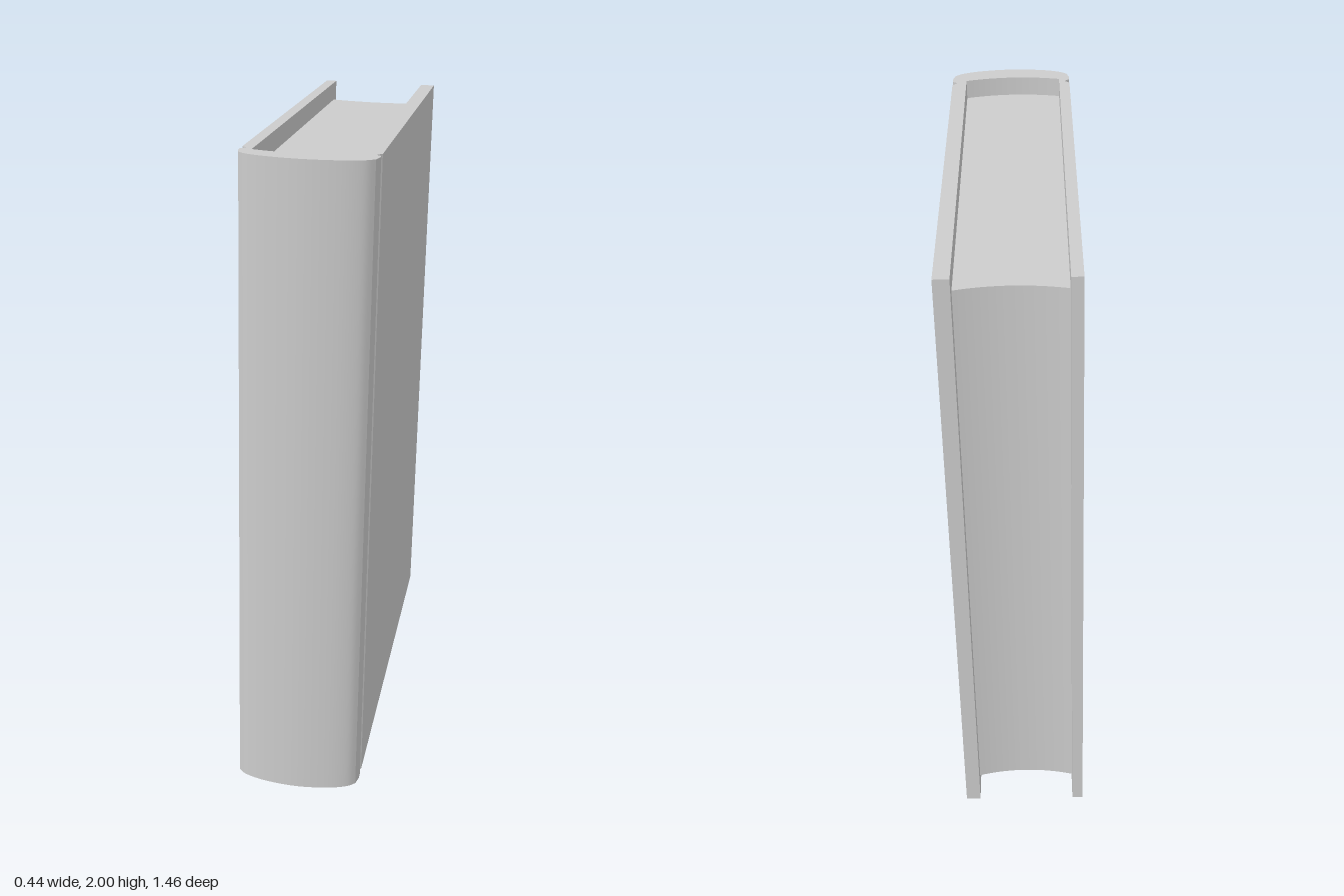
import * as THREE from 'three';
import { toCreasedNormals } from 'three/addons/utils/BufferGeometryUtils.js';

const HEIGHT = 1.99, RECESS = 0.06, LEAN = 0.0243;
const INNER_L = -0.161, INNER_R = 0.149; // inside faces of the two boards
const BACK = -0.733;

// Shallow arc from x0 to x1: depth zEdge at the ends, zMid in the middle.
function arc(x0, x1, zEdge, zMid, n = 20) {
  return Array.from({ length: n + 1 }, (_, i) => {
    const t = i / n, s = 2 * t - 1;
    return [x0 + (x1 - x0) * t, zMid + (zEdge - zMid) * s * s];
  });
}

// Upright prism from a plan outline of [x, z] points, centred on y = 0.
function prism(name, outline, height) {
  const shape = new THREE.Shape(outline.map(([x, z]) => new THREE.Vector2(x, -z)));
  const geometry = new THREE.ExtrudeGeometry(shape, { depth: height, bevelEnabled: false });
  geometry.rotateX(-Math.PI / 2).translate(0, -height / 2, 0);
  const mesh = new THREE.Mesh(
    toCreasedNormals(geometry, 0.35),
    new THREE.MeshStandardMaterial({ color: 0xcccccc })
  );
  mesh.name = name;
  return mesh;
}

export function createModel() {
  const book = new THREE.Group();
  book.name = 'book';

  // Case: two boards with hinge grooves, joined by a rounded spine
  const side = [[0.195, BACK], [0.195, 0.6], [0.181, 0.614], [0.184, 0.622], [0.195, 0.63], [0.195, 0.65]];
  const spineCurve = new THREE.SplineCurve(
    [[0.188, 0.68], [0.165, 0.7], [0.12, 0.717], [0.06, 0.728], [0, 0.732],
      [-0.06, 0.728], [-0.12, 0.717], [-0.165, 0.7], [-0.188, 0.68]].map(p => new THREE.Vector2(...p))
  );
  const spine = spineCurve.getPoints(32).map(p => [p.x, p.y]);
  const mirrored = side.map(([x, z]) => [-x, z]).reverse();
  const inside = arc(INNER_L, INNER_R, 0.635, 0.657);
  book.add(prism('cover', [
    ...side, ...spine, ...mirrored, [INNER_L, BACK], ...inside, [INNER_R, BACK],
  ], HEIGHT));

  // Page block: rounded against the spine, hollow along the fore edge
  const e = 0.002;
  book.add(prism('pages', [
    ...arc(INNER_L - e, INNER_R + e, 0.637, 0.659),
    ...arc(INNER_R + e, INNER_L - e, -0.685, -0.664),
  ], HEIGHT - 2 * RECESS));

  // Slight sideways lean
  book.rotation.z = -LEAN;
  book.position.y = 1;
  const model = new THREE.Group();
  model.add(book);
  return model;
}
